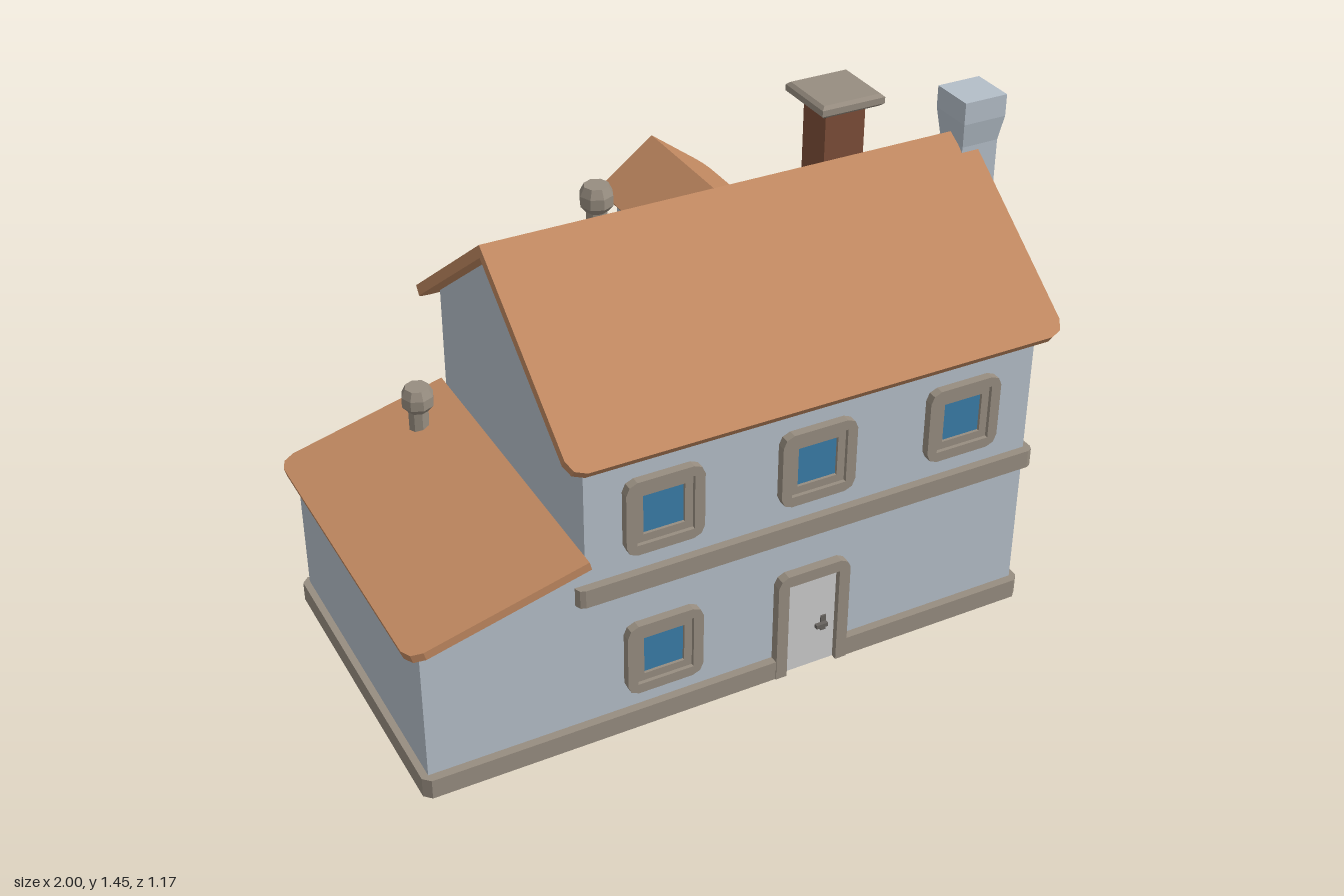
import * as THREE from 'three';

const V = (x, y, z) => new THREE.Vector3(x, y, z);
const mat = (color) => new THREE.MeshStandardMaterial({ color, flatShading: true });
const WALL = mat(0xb4bec8), TRIM = mat(0x978d80), GLASS = mat(0x3a7ca8), ROOF = mat(0xc08860);
const BRICK = mat(0x7d4e38), DOOR = mat(0xc2c2c2), METAL = mat(0x66625e), SOIL = mat(0x9a8560);
const UP = V(0, 1, 0), PX = V(1, 0, 0), BACK = V(0, 0, -1);

// Rectangle outline with softened corners: c0 on the low edge, c1 on the high edge
function rect(x0, y0, x1, y1, c0 = 0, c1 = c0) {
  const pts = [];
  const corner = (x, y, sx, sy, c, flip) => {
    if (!c) return pts.push([x, y]);
    const arc = [[x, y + sy * c], [x + sx * c * 0.3, y + sy * c * 0.3], [x + sx * c, y]];
    pts.push(...(flip ? arc.reverse() : arc));
  };
  corner(x0, y0, 1, 1, c0, false);
  corner(x1, y0, -1, 1, c0, true);
  corner(x1, y1, -1, -1, c1, false);
  corner(x0, y1, 1, -1, c1, true);
  return pts;
}

// Extrude an outline drawn on axes X, Y; the depth runs along X cross Y
function prism(parent, name, material, pts, depth, origin = V(0, 0, 0), X = PX, Y = UP, hole = null) {
  const toVec = (p) => new THREE.Vector2(p[0], p[1]);
  const shape = new THREE.Shape(pts.map(toVec));
  if (hole) shape.holes.push(new THREE.Path(hole.map(toVec)));
  const geo = new THREE.ExtrudeGeometry(shape, { depth, bevelEnabled: false });
  const m = new THREE.Matrix4().makeBasis(X, Y, X.clone().cross(Y)).setPosition(origin);
  const mesh = new THREE.Mesh(geo.applyMatrix4(m), material);
  mesh.name = name;
  parent.add(mesh);
  return mesh;
}

function box(parent, name, material, w, h, d, x, y, z) {
  const mesh = new THREE.Mesh(new THREE.BoxGeometry(w, h, d), material);
  mesh.name = name;
  mesh.position.set(x, y, z);
  parent.add(mesh);
  return mesh;
}

// Stack of rectangular sections [y, x0, x1, z0, z1]
function stack(parent, name, material, rows) {
  const n = rows.length - 1;
  const geo = new THREE.BoxGeometry(1, 1, 1, 1, n, 1), p = geo.attributes.position;
  for (let i = 0; i < p.count; i++) {
    const [y, x0, x1, z0, z1] = rows[Math.round((p.getY(i) + 0.5) * n)];
    p.setXYZ(i, p.getX(i) < 0 ? x0 : x1, y, p.getZ(i) < 0 ? z0 : z1);
  }
  geo.computeVertexNormals();
  const mesh = new THREE.Mesh(geo, material);
  mesh.name = name;
  parent.add(mesh);
}

function lathe(parent, name, material, profile, sides, x, y, z) {
  const pts = profile.map((p) => new THREE.Vector2(p[0], p[1]));
  const mesh = new THREE.Mesh(new THREE.LatheGeometry(pts, sides), material);
  mesh.name = name;
  mesh.position.set(x, y, z);
  parent.add(mesh);
}

// Group lying on a wall; its local +z points out of the wall
function onWall(parent, name, x, y, z, turn) {
  const g = new THREE.Group();
  g.name = name;
  g.position.set(x, y, z);
  g.rotation.y = turn;
  parent.add(g);
  return g;
}

function squareWindow(parent, x, y, z, turn) {
  const g = onWall(parent, 'window', x, y, z, turn);
  const sq = (h, c = 0) => rect(-h, -h, h, h, c);
  prism(g, 'windowFrame', TRIM, sq(0.113, 0.032), 0.025, undefined, PX, UP, sq(0.083));
  prism(g, 'windowSash', TRIM, sq(0.083), 0.014, undefined, PX, UP, sq(0.06));
  box(g, 'windowPane', GLASS, 0.12, 0.12, 0.005, 0, 0, 0.003);
}

function doorway(parent, name, x, z, turn, half) {
  const g = onWall(parent, name, x, 0, z, turn);
  const i = half - 0.034;
  prism(g, 'doorFrame', TRIM, [[-half, 0], [-half, 0.315], [-half + 0.01, 0.335], [-half + 0.03, 0.345],
    [half - 0.03, 0.345], [half - 0.01, 0.335], [half, 0.315], [half, 0], [i, 0], [i, 0.31], [-i, 0.31], [-i, 0]], 0.028);
  box(g, 'doorPanel', DOOR, 2 * i, 0.31, 0.01, 0, 0.155, 0.005);
  return g;
}

function doorHandle(g) {
  box(g, 'handlePlate', METAL, 0.016, 0.05, 0.006, 0.042, 0.135, 0.012);
  box(g, 'handleLever', METAL, 0.036, 0.012, 0.012, 0.03, 0.138, 0.024);
}

// Bush in bands that shade from green to tan
function bush(parent, x, z, s) {
  const g = new THREE.Group();
  g.name = 'bush';
  const prof = [[0.055, 0], [0.086, 0.045], [0.077, 0.08], [0.06, 0.115], [0.04, 0.145], [0, 0.152]];
  const green = new THREE.Color(0x5f9448), tan = new THREE.Color(0xb88058);
  for (let i = 0; i < prof.length - 1; i++) {
    const m = mat(green.clone().lerp(tan, i / (prof.length - 2)));
    lathe(g, 'bushBand', m, prof.slice(i, i + 2).map(([r, y]) => [r, y * s]), 6, 0, 0, 0);
  }
  g.position.set(x, 0.05, z);
  parent.add(g);
}

export function createModel() {
  const house = new THREE.Group();
  house.name = 'house';
  const Z = V(0, 0, 1);

  // Foundation outline in (x, -z), notched at the doorways, with the chimney foot
  prism(house, 'foundation', TRIM, [
    [-0.98, -0.525], [-0.96, -0.545], [0.095, -0.545], [0.095, -0.521], [0.255, -0.521], [0.255, -0.545],
    [0.86, -0.545], [0.88, -0.525], [0.88, -0.2], [0.98, -0.2], [1, -0.18], [1, 0.05], [0.98, 0.07], [0.88, 0.07],
    [0.88, 0.395], [0.86, 0.415], [0.255, 0.415], [0.255, 0.396], [0.095, 0.396], [0.095, 0.415],
    [-0.584, 0.415], [-0.584, 0.396], [-0.866, 0.396], [-0.866, 0.415], [-0.96, 0.415], [-0.98, 0.395],
  ], 0.06, V(0, 0, 0), PX, BACK);

  // Walls
  prism(house, 'mainWalls', WALL, [[0.52, 0.01], [0.52, 0.93], [0.065, 1.275], [-0.395, 0.928], [-0.395, 0.01]],
    1.36, V(0.86, 0, 0), Z, UP);
  prism(house, 'wingWalls', WALL, [[-0.96, 0.01], [-0.5, 0.01], [-0.5, 0.59], [-0.96, 0.47]], 0.915, V(0, 0, -0.395));
  prism(house, 'floorBand', TRIM, rect(-0.53, -0.545, 0.88, 0.415, 0.02), 0.055, V(0, 0.46, 0), PX, BACK);

  // Roofs: top surface starts at the ridge and runs down the slope
  prism(house, 'frontRoof', ROOF, rect(-0.56, 0, 0.913, 0.65, 0, 0.045), 0.03, V(0, 1.297, 0.065), PX, V(0, -0.6, 0.8));
  prism(house, 'backRoof', ROOF, rect(-0.913, 0, 0.56, 0.65, 0, 0.045), 0.03, V(0, 1.297, 0.065), V(-1, 0, 0), V(0, -0.6, -0.8));
  prism(house, 'wingRoof', ROOF, rect(-0.43, 0, 0.55, 0.517, 0, 0.045), 0.025, V(-0.5, 0.607, 0), Z,
    V(-0.5, -0.13, 0).normalize());

  // Dormer
  prism(house, 'dormerWalls', WALL, [[0.035, 0.94], [0.315, 0.94], [0.315, 1.095], [0.175, 1.2], [0.035, 1.095]],
    0.3, V(0, 0, -0.365));
  for (const s of [1, -1]) {
    const a = s > 0 ? 0.03 : -0.42, b = s > 0 ? 0.42 : -0.03;
    prism(house, 'dormerRoof', ROOF, rect(a, 0, b, 0.215, 0, 0.035), 0.03, V(0.175, 1.228, 0),
      V(0, 0, -s), V(s * 0.8, -0.6, 0));
  }
  const tri = (k) => [[-0.125 * k, -0.05 * k], [0.125 * k, -0.05 * k], [0.125 * k, -0.03 * k], [0, 0.085 * k], [-0.125 * k, -0.03 * k]];
  const dw = onWall(house, 'dormerWindow', 0.175, 1.07, -0.365, Math.PI);
  prism(dw, 'dormerFrame', TRIM, tri(1), 0.025, undefined, PX, UP, tri(0.72));
  prism(dw, 'dormerSash', TRIM, tri(0.72), 0.014, undefined, PX, UP, tri(0.5));

  // Side chimney and roof chimney
  stack(house, 'sideChimney', WALL, [
    [0.02, 0.84, 0.975, -0.047, 0.18], [0.91, 0.84, 0.975, -0.047, 0.18], [1.025, 0.84, 0.975, 0.01, 0.122],
    [1.27, 0.86, 0.975, 0.01, 0.122], [1.345, 0.85, 0.985, 0, 0.135], [1.41, 0.85, 0.985, 0, 0.135]]);
  box(house, 'roofChimney', BRICK, 0.125, 0.27, 0.115, 0.543, 1.28, -0.045);
  box(house, 'chimneyCollar', BRICK, 0.11, 0.02, 0.1, 0.543, 1.412, -0.045);
  const cap = (y, r) => [y, 0.543 - r, 0.543 + r, -0.045 - r, -0.045 + r];
  stack(house, 'chimneyCap', TRIM, [cap(1.414, 0.088), cap(1.423, 0.098), cap(1.441, 0.098), cap(1.45, 0.088)]);

  // Vent pots
  for (const [x, y, z] of [[-0.63, 0.55, -0.28], [-0.17, 1.165, -0.065]])
    lathe(house, 'ventPot', TRIM, [[0.03, 0], [0.03, 0.075], [0.047, 0.095], [0.047, 0.125], [0.035, 0.15], [0, 0.15]], 8, x, y, z);

  // Windows on the front, back and right end
  for (const x of [-0.28, 0.175, 0.63]) {
    squareWindow(house, x, 0.69, 0.52, 0);
    squareWindow(house, x, 0.69, -0.395, Math.PI);
  }
  squareWindow(house, -0.28, 0.23, 0.52, 0);
  squareWindow(house, -0.28, 0.23, -0.395, Math.PI);
  squareWindow(house, 0.63, 0.23, -0.395, Math.PI);
  squareWindow(house, 0.86, 0.23, 0.293, Math.PI / 2);

  // Doors
  doorHandle(doorway(house, 'frontDoor', 0.175, 0.52, 0, 0.113));
  const backDoor = doorway(house, 'backDoor', 0.175, -0.395, Math.PI, 0.113);
  doorHandle(backDoor);
  box(backDoor, 'diamondFrame', TRIM, 0.066, 0.066, 0.008, 0, 0.235, 0.011).rotation.z = Math.PI / 4;
  box(backDoor, 'diamondPane', GLASS, 0.046, 0.046, 0.01, 0, 0.235, 0.012).rotation.z = Math.PI / 4;
  const garage = doorway(house, 'garageDoor', -0.725, -0.395, Math.PI, 0.175);
  box(garage, 'garageWindowFrame', TRIM, 0.21, 0.062, 0.008, 0, 0.235, 0.01);
  box(garage, 'garagePane', GLASS, 0.19, 0.042, 0.01, 0, 0.235, 0.011);
  box(garage, 'garageHandle', METAL, 0.06, 0.014, 0.015, 0, 0.08, 0.015);

  // Porch over the back door
  prism(house, 'porchRoof', ROOF, rect(-0.41, 0, 0.05, 0.185, 0, 0.03), 0.028, V(0, 0.465, -0.385), V(-1, 0, 0),
    V(0, -0.065, -0.17).normalize());
  for (const s of [1, -1]) box(house, 'porchPost', TRIM, 0.03, 0.405, 0.03, 0.178 + s * 0.175, 0.2025, -0.487);

  // Planters with a tall and a short bush
  for (const [x0, x1] of [[-0.5, -0.055], [0.412, 0.857]]) {
    prism(house, 'planterRim', TRIM, rect(x0, 0.405, x1, 0.585, 0, 0.045), 0.06, V(0, 0, 0), PX, BACK,
      rect(x0 + 0.022, 0.418, x1 - 0.022, 0.563, 0, 0.035));
    prism(house, 'planterSoil', SOIL, rect(x0 + 0.015, 0.41, x1 - 0.015, 0.57, 0, 0.035), 0.04, V(0, 0.001, 0), PX, BACK);
    bush(house, x0 + 0.3, -0.487, 1);
    bush(house, x0 + 0.138, -0.487, 0.8);
  }
  return house;
}
